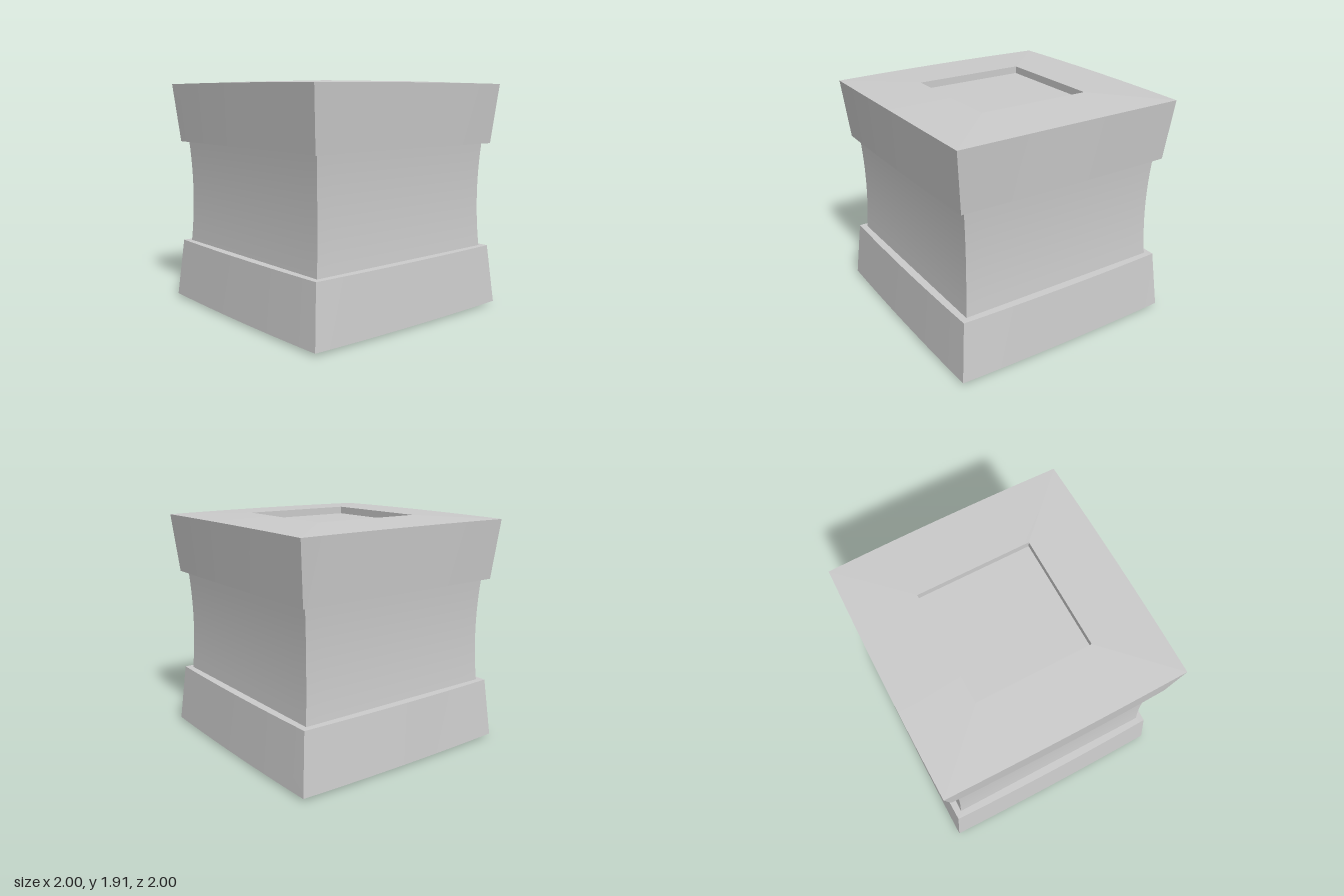
import * as THREE from 'three';

const MID = 0.958; // height of the symmetry plane
const material = new THREE.MeshStandardMaterial({ color: 0xcccccc });

// Four identical side panels swept along a profile.
// Each profile row: [corner half-width, outward bow at mid side, y, vertical bow at mid side]
function squareRing(name, profile) {
  const group = new THREE.Group();
  group.name = name;
  const geometry = new THREE.PlaneGeometry(2, 1, 12, profile.length - 1);
  const pos = geometry.attributes.position;
  for (let i = 0; i < pos.count; i++) {
    const [half, bow, y, rise] = profile[Math.floor(i / 13)];
    const u = pos.getX(i);
    const k = 1 - u * u;
    pos.setXYZ(i, half * u, y + rise * k, half + bow * k);
  }
  geometry.computeVertexNormals();
  for (let s = 0; s < 4; s++) {
    const side = new THREE.Mesh(geometry, material);
    side.name = name + 'Side';
    side.rotation.y = s * Math.PI / 2;
    group.add(side);
  }
  return group;
}

// Flared block with a slightly domed face and a square recess
function createCap(name) {
  const cap = new THREE.Group();
  cap.name = name;
  const lip = [0.48, 0, 0.957, 0];
  const rim = [0.99, 0.01, 0.934, 0.006];
  const edge = [0.943, 0.014, 0.44, 0.002];
  cap.add(
    squareRing('domedFace', [lip, rim]),
    squareRing('flaredWall', [rim, edge]),
    squareRing('ledge', [edge, [0.88, 0, 0.44, 0]]),
    squareRing('recessWall', [[0.48, 0, 0.897, 0], lip])
  );
  const floor = new THREE.Mesh(new THREE.PlaneGeometry(0.96, 0.96), material);
  floor.name = 'recessFloor';
  floor.rotation.x = -Math.PI / 2;
  floor.position.y = 0.897;
  cap.add(floor);
  return cap;
}

export function createModel() {
  const model = new THREE.Group();
  model.name = 'waistedBlock';

  const upper = createCap('upperCap');
  const lower = createCap('lowerCap');
  lower.rotation.x = Math.PI;

  // Gently concave middle
  const waist = [];
  for (let i = 0; i <= 12; i++) {
    const t = 1 - i / 6;
    waist.push([0.874 + 0.018 * t * t, 0, 0.44 * t, 0]);
  }

  for (const part of [upper, lower, squareRing('waist', waist)]) {
    part.position.y = MID;
    model.add(part);
  }
  return model;
}
